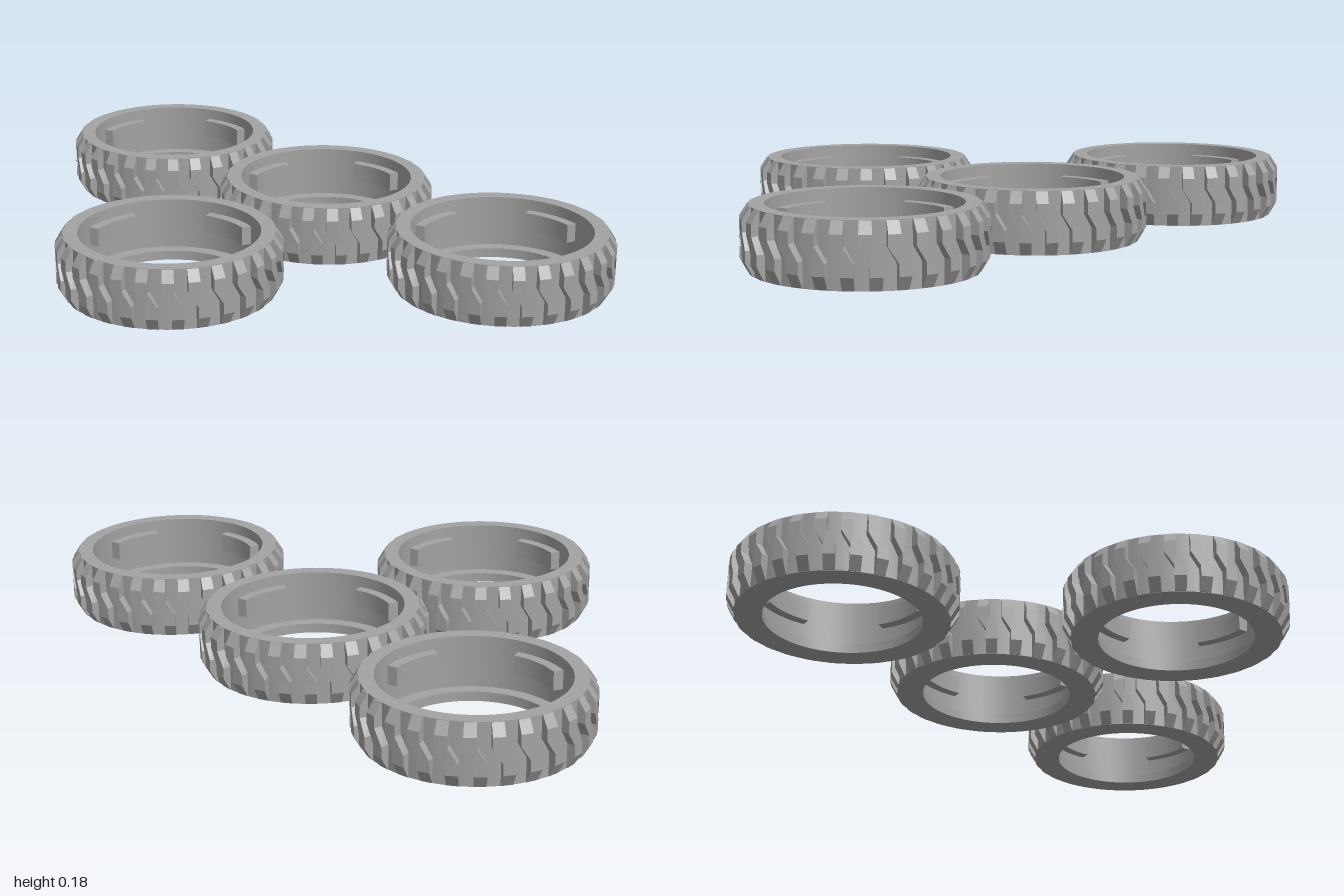
import * as THREE from 'three';
import { toCreasedNormals } from 'three/addons/utils/BufferGeometryUtils.js';

const HEIGHT = 0.178;
const BODY_R = 0.303;
const WALL_R = 0.262;
const HOLE_R = 0.225;
const TREADS = 28;

// Point at angle a (0 = front, rising towards +x), radius r, height y
const polar = (a, r, y) => [Math.sin(a) * r, y, Math.cos(a) * r];

// Closed solid through four-cornered sections, with flat faces and end caps
function loft(sections) {
  const out = [];
  const quad = (a, b, c, d) => out.push(...a, ...b, ...c, ...a, ...c, ...d);
  for (let i = 0; i < sections.length - 1; i++) {
    const s = sections[i], t = sections[i + 1];
    for (let j = 0; j < 4; j++) {
      const k = (j + 1) % 4;
      quad(s[j], s[k], t[k], t[j]);
    }
  }
  const first = sections[0], last = sections[sections.length - 1];
  quad(first[3], first[2], first[1], first[0]);
  quad(...last);
  const geo = new THREE.BufferGeometry();
  geo.setAttribute('position', new THREE.Float32BufferAttribute(out, 3));
  geo.computeVertexNormals();
  return geo;
}

// Ring with an open top and an inward lip at the bottom
function bodyGeometry() {
  const profile = [
    [HOLE_R, 0], [BODY_R, 0], [BODY_R, HEIGHT], [WALL_R, HEIGHT],
    [WALL_R, 0.028], [HOLE_R, 0.028], [HOLE_R, 0],
  ].map(([r, y]) => new THREE.Vector2(r, y));
  return toCreasedNormals(new THREE.LatheGeometry(profile, 72), 0.6);
}

// Stepped tread block with sloped ends: rows of height, radius, angle
function treadGeometry() {
  const low = -0.025, high = -0.11, half = 0.052, inner = 0.296;
  const rows = [
    [0.001, 0.306, low], [0.038, 0.327, low], [0.07, 0.327, low],
    [0.113, 0.327, high], [0.145, 0.327, high], [HEIGHT - 0.001, 0.306, high],
  ];
  return loft(rows.map(([y, r, a]) => [
    polar(a - half, inner, y), polar(a - half, r, y),
    polar(a + half, r, y), polar(a + half, inner, y),
  ]));
}

// Curved lug on the inner wall
function lugGeometry() {
  const sections = [];
  const half = 0.33, inner = 0.233, outer = WALL_R + 0.006, lo = 0.09, hi = 0.145;
  for (let i = 0; i <= 8; i++) {
    const a = -half + (2 * half * i) / 8;
    sections.push([
      polar(a, outer, lo), polar(a, inner, lo),
      polar(a, inner, hi), polar(a, outer, hi),
    ]);
  }
  return toCreasedNormals(loft(sections), 0.6);
}

export function createModel() {
  const model = new THREE.Group();
  model.name = 'tyreSet';
  const rubber = new THREE.MeshStandardMaterial({ color: 0xa3a3a3 });
  rubber.name = 'greyRubber';

  const body = bodyGeometry(), tread = treadGeometry(), lug = lugGeometry();

  const add = (parent, geo, name, angle = 0) => {
    const mesh = new THREE.Mesh(geo, rubber);
    mesh.name = name;
    mesh.rotation.y = angle;
    parent.add(mesh);
  };

  // Three tyres in a row on the left, one on the right
  const places = [
    ['backTyre', 0.336, -0.673], ['middleTyre', 0.336, 0],
    ['frontTyre', 0.336, 0.673], ['rightTyre', -0.336, 0],
  ];
  for (const [name, x, z] of places) {
    const tyre = new THREE.Group();
    tyre.name = name;
    tyre.position.set(x, 0, z);
    add(tyre, body, 'tyreBody');
    for (let i = 0; i < TREADS; i++) add(tyre, tread, 'treadBlock', (i * 2 * Math.PI) / TREADS);
    for (let i = 0; i < 4; i++) add(tyre, lug, 'innerLug', (i * Math.PI) / 2);
    model.add(tyre);
  }
  return model;
}
